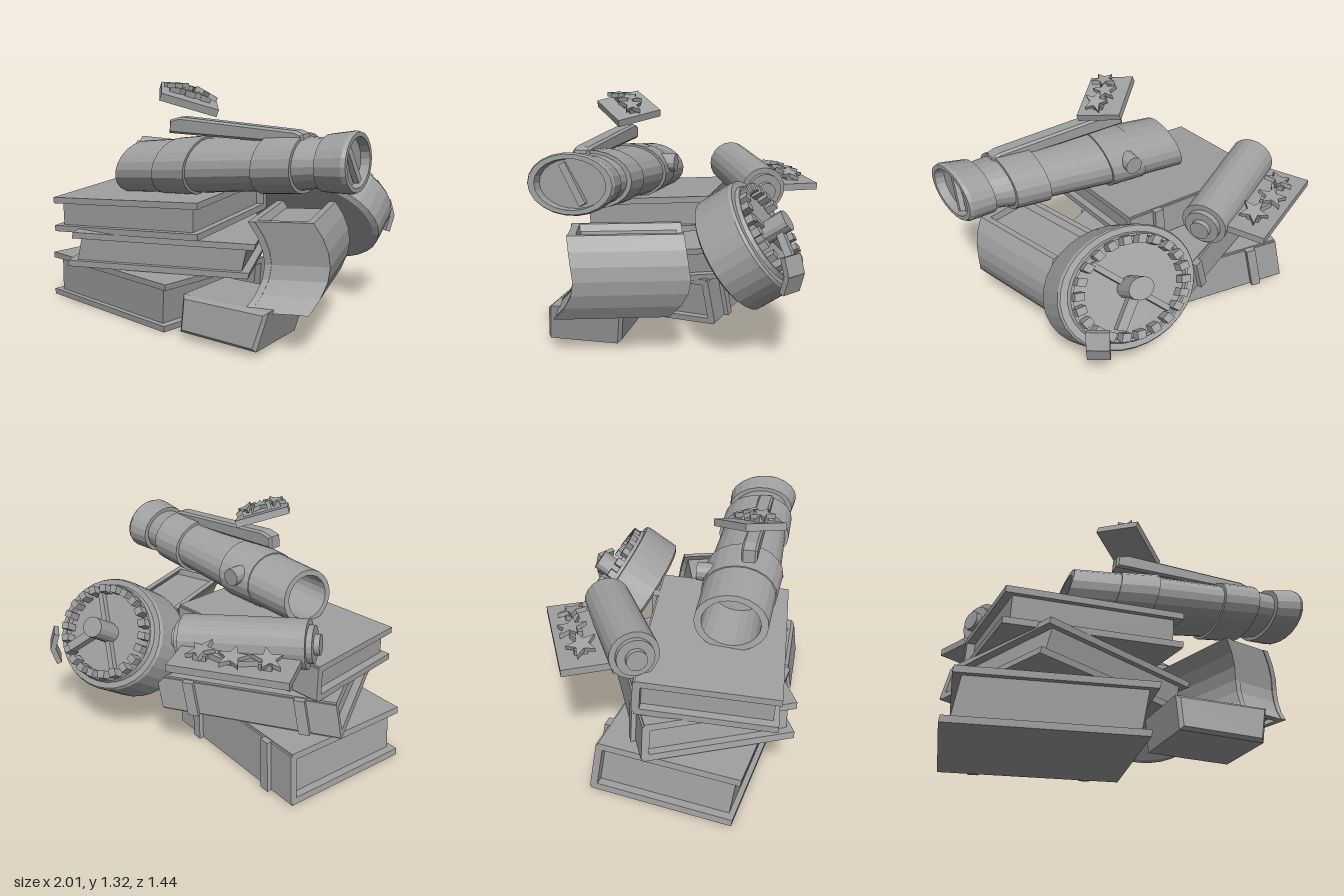
import * as THREE from 'three';

const grey = new THREE.MeshStandardMaterial({ color: 0xa0a0a0, flatShading: true });
grey.name = 'stone grey';

function add(parent, name, geo, x = 0, y = 0, z = 0) {
  const m = new THREE.Mesh(geo, grey);
  m.name = name;
  m.position.set(x, y, z);
  parent.add(m);
  return m;
}
const box = (w, h, d) => new THREE.BoxGeometry(w, h, d);
function group(parent, name) {
  const g = new THREE.Group();
  g.name = name;
  parent.add(g);
  return g;
}
const shapeOf = (pts) => new THREE.Shape(pts.map(([x, y]) => new THREE.Vector2(x, y)));
const extrude = (pts, depth, bevel = 0) => new THREE.ExtrudeGeometry(shapeOf(pts), {
  depth, bevelEnabled: bevel > 0, bevelSize: bevel, bevelThickness: bevel, bevelSegments: 1,
});
// move every vertex of a geometry by a rule
function warp(geo, rule) {
  const p = geo.attributes.position;
  for (let i = 0; i < p.count; i++) p.setXYZ(i, ...rule(p.getX(i), p.getY(i), p.getZ(i)));
  return geo;
}
// orient a group so that its local x and z follow the given directions
function orient(g, pos, xDir, zDir) {
  const x = new THREE.Vector3(...xDir).normalize();
  const y = new THREE.Vector3(...zDir).cross(x).normalize();
  const z = new THREE.Vector3().crossVectors(x, y);
  g.quaternion.setFromRotationMatrix(new THREE.Matrix4().makeBasis(x, y, z));
  g.position.set(...pos);
}

// closed book with its spine toward -z, its top slid sideways by slide
function book(parent, name, L, W, T, pos, rot, slide) {
  const g = group(parent, name);
  const c = 0.035;
  const part = (label, w, h, d, x, y, z) => add(g, label, warp(box(w, h, d).translate(x, y, z),
    (px, py, pz) => [px + slide[0] * py / T, py, pz + slide[1] * py / T]));
  part('bottomCover', L, c, W, 0, -T / 2 + c / 2, 0);
  part('topCover', L, c, W, 0, T / 2 - c / 2, 0);
  part('spine', L, T - 0.02, 0.04, 0, 0, -W / 2 + 0.01);
  part('pages', L - 0.09, T - 2 * c, W - 0.06, 0, 0, 0);
  for (const s of [-1, 1]) part('spineBand', 0.06, T - 0.01, 0.05, s * L * 0.31, 0, -W / 2 - 0.01);
  g.position.set(...pos);
  g.rotation.set(...rot);
}

// flat plate carrying a row of raised stars along z
function starPlate(parent, name, w, l, size, offset) {
  const g = group(parent, name);
  add(g, 'plate', box(w, 0.04, l));
  const pts = [];
  for (let i = 0; i < 10; i++) {
    const a = i * Math.PI / 5, r = i % 2 ? size * 0.42 : size;
    pts.push([Math.cos(a) * r, Math.sin(a) * r]);
  }
  for (let i = -1; i <= 1; i++) {
    const star = extrude(pts, 0.025).rotateX(-Math.PI / 2);
    const m = add(g, 'star', star, offset + (i ? 0.012 : -0.02), 0.045, i * l * 0.27);
    m.rotation.set(0.15 * i, i * 0.5, 0.2);
    add(g, 'starFoot', box(size * 0.8, 0.04, size * 0.8), offset, 0.03, i * l * 0.27);
  }
  for (const s of [-1, 1]) {
    add(g, 'link', box(0.03, 0.03, l * 0.2), offset, 0.035, s * l * 0.14).rotation.y = s * 0.4;
  }
  return g;
}

// thick book standing on end, bowed toward +x
function bowedBook(parent) {
  const g = group(parent, 'bowedBook');
  const H = 0.44, T = 0.33, W = 0.59;
  const part = (label, w, h, d, x, z) => add(g, label, warp(
    new THREE.BoxGeometry(w, h, d, 1, 6, 1).translate(x, 0, z),
    (px, py, pz) => {
      const t = py / (H / 2);
      return [px + 0.08 * (1 - t * t), py + 0.04 * px, pz + (t > 0 ? 0.03 * t : 0.11 * t * t)];
    }));
  for (const s of [-1, 1]) part('cover', 0.035, H, W, s * (T / 2 - 0.0175), 0);
  part('spine', T - 0.02, H, 0.04, 0, W / 2 - 0.025);
  part('leaves', T - 0.07, H - 0.07, W - 0.08, 0, -0.01);
  g.position.set(0.55, 0.44, 0.185);
  g.rotation.y = 0.29;
}

export function createModel() {
  const model = new THREE.Group();
  model.name = 'treasurePile';

  // stack of three books
  book(model, 'lowerBook', 1.01, 0.79, 0.28, [-0.415, 0.14, 0.155], [0, -0.165, 0], [0.05, 0.03]);
  book(model, 'middleBook', 1.02, 0.81, 0.2, [-0.28, 0.385, 0.135], [0, 0.42, -0.025], [0.04, 0.02]);
  book(model, 'upperBook', 0.98, 0.74, 0.2, [-0.305, 0.615, 0.245], [0.06, 0.06, 0.06], [0.02, 0]);
  bowedBook(model);

  // small leaning block
  const block = extrude([[0.15, 0.06], [0.15, 0.22], [0.63, 0.22], [0.585, 0.05]], 0.38, 0.018);
  add(model, 'smallBlock', warp(block, (x, y, z) => [x, y, z - 0.15 * y]), 0, 0, 0.265);

  // spyglass: stepped, flattened barrel, hollow at one end
  const glass = group(model, 'spyglass');
  glass.position.set(0.295, 0.9, 0.34);
  glass.rotation.set(0, -0.015, 0.095);
  const profile = [[0, -0.4], [0.15, -0.4], [0.16, -0.69], [0.2, -0.69], [0.205, -0.42], [0.212, -0.42],
    [0.222, -0.2], [0.205, -0.2], [0.19, 0.2], [0.212, 0.2], [0.208, 0.41], [0.185, 0.41],
    [0.165, 0.53], [0.195, 0.53], [0.21, 0.67], [0.2, 0.69], [0.17, 0.69], [0.165, 0.64], [0, 0.64]];
  const barrel = new THREE.LatheGeometry(profile.map(([r, y]) => new THREE.Vector2(r, y)), 22);
  barrel.rotateZ(-Math.PI / 2).scale(1, 0.72, 1);
  add(glass, 'barrel', warp(barrel,
    (x, y, z) => [x + y * (0.21 - 0.2 * x) + z * Math.max(0, x) * 0.2, y, z]));
  add(glass, 'lensBar', box(0.03, 0.22, 0.035), 0.65, 0, 0).rotation.x = 0.5;
  add(glass, 'sideKnob', new THREE.CylinderGeometry(0.052, 0.052, 0.14, 12).rotateX(Math.PI / 2), -0.315, 0.05, -0.18);
  const strip = [[-0.37, 0.195], [-0.36, 0.245], [-0.3, 0.255], [0.4, 0.155], [0.43, 0.14], [0.43, 0.12], [0.38, 0.115]];
  add(glass, 'topStrip', extrude(strip, 0.065, 0.012), 0, 0, 0.012);

  // star badge above the spyglass
  const badge = starPlate(model, 'starBadge', 0.26, 0.31, 0.07, 0.01);
  orient(badge, [-0.01, 1.23, 0.365], [0.16, -0.05, 0.2], [-0.22, 0.09, 0.21]);

  // scroll roll with stepped ends
  const scroll = group(model, 'scroll');
  orient(scroll, [-0.45, 0.787, -0.255], [0.58, -0.06, -0.3], [0.3, 0, 0.58]);
  for (const [name, r, len] of [['roll', 0.132, 0.67], ['rollCap', 0.1, 0.73], ['rollPin', 0.055, 0.79]]) {
    add(scroll, name, new THREE.CylinderGeometry(r, r, len, 20).rotateZ(Math.PI / 2));
  }

  // star plate behind the scroll
  const sheet = starPlate(model, 'scrollPlate', 0.34, 0.63, 0.085, -0.05);
  orient(sheet, [-0.54, 0.762, -0.42], [0.27, 0, 0.57], [-0.57, 0.01, 0.27]);

  // tilted round dial, slightly flattened
  const dial = group(model, 'dial');
  orient(dial, [0.39, 0.58, -0.42], [1, 0, 0], [0, 0.83, 0.555]);
  dial.scale.set(1, 1, 0.78);
  const rim = [[0, -0.14], [0.38, -0.14], [0.41, -0.125], [0.41, 0.08], [0.4, 0.095], [0.36, 0.095],
    [0.35, 0.115], [0.335, 0.115], [0.33, 0.09], [0, 0.09]];
  add(dial, 'case', new THREE.LatheGeometry(rim.map(([r, y]) => new THREE.Vector2(r, y)), 32));
  for (let i = 0; i < 22; i++) {
    const a = i * Math.PI / 11;
    add(dial, 'hourTooth', box(0.055, 0.06, 0.05), Math.cos(a) * 0.315, 0.125, Math.sin(a) * 0.315).rotation.y = -a;
  }
  add(dial, 'hub', new THREE.CylinderGeometry(0.075, 0.075, 0.14, 14), 0, 0.16, 0);
  for (const [a, len, w, y] of [[-0.93, 0.27, 0.06, 0.17], [0.96, 0.3, 0.035, 0.1], [0.96 + Math.PI, 0.3, 0.035, 0.1]]) {
    const hand = add(dial, 'hand', box(len, 0.04, w), Math.cos(a) * len / 2, y, Math.sin(a) * len / 2);
    hand.rotation.y = -a;
  }

  // bent latch on the dial's edge
  const latch = group(model, 'latch');
  latch.position.set(0.69, 0.51, -0.67);
  latch.rotation.y = -0.6;
  for (const s of [-1, 1]) {
    add(latch, 'latchBar', box(0.12, 0.1, 0.03), 0, s * 0.045, 0).rotation.x = s * 0.3;
  }

  return model;
}
